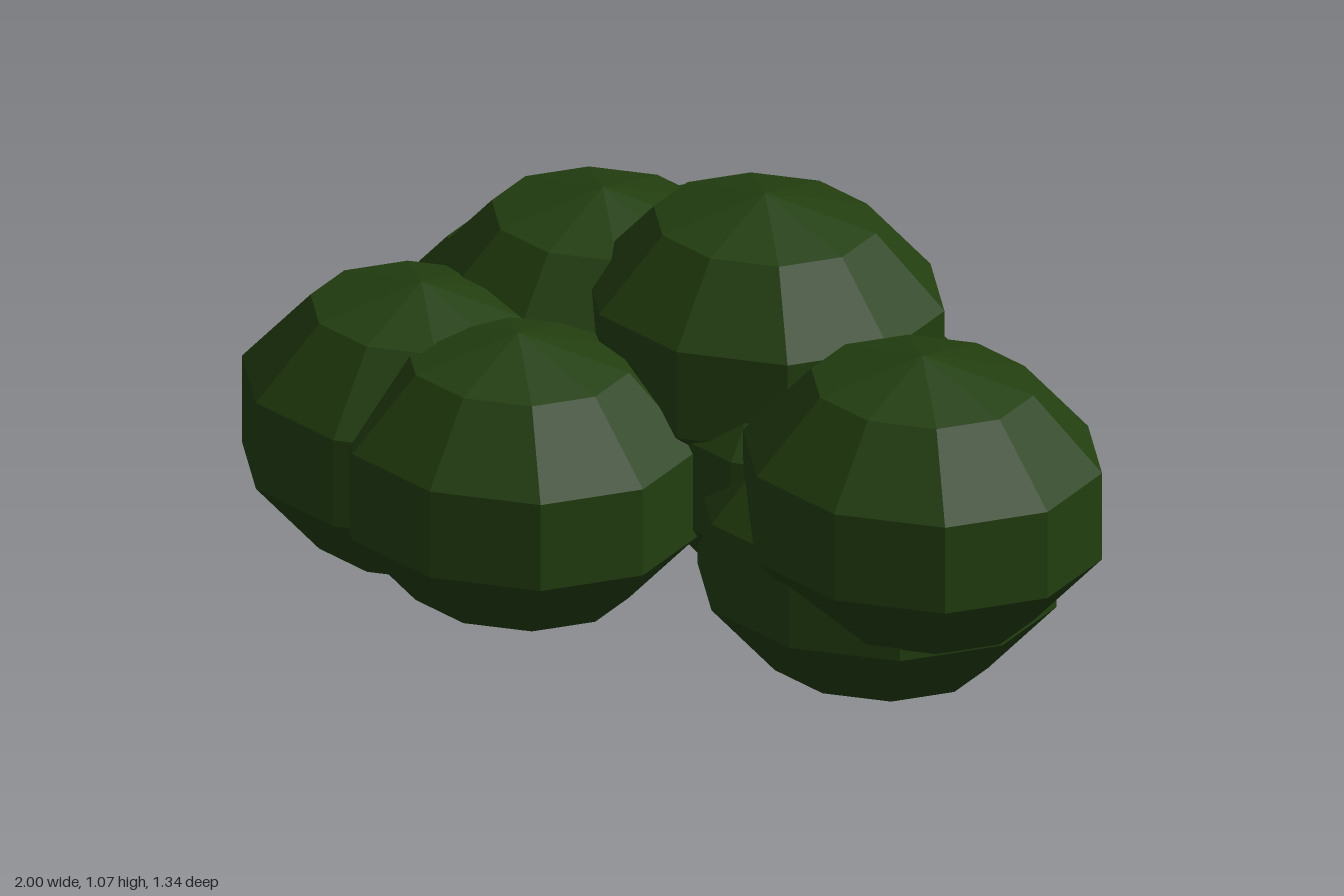
import * as THREE from 'three';

export function createModel() {
  const model = new THREE.Group();
  model.name = 'bush';

  const leafGreen = new THREE.MeshStandardMaterial({ color: 0x233f10, flatShading: true });
  leafGreen.name = 'leaf green';
  const berryRed = new THREE.MeshStandardMaterial({ color: 0x2a0c0e, flatShading: true });
  berryRed.name = 'dark berry red';

  // Overlapping low-poly foliage clumps, all the same squashed ball
  const clumpShape = new THREE.SphereGeometry(1, 10, 5);
  clumpShape.scale(0.427, 0.355, 0.343);
  const clumps = [
    ['topClump', 0.15, 0.72, 0.01],
    ['leftFrontClump', 0.59, 0.567, 0.36],
    ['leftLowClump', 0.46, 0.362, 0.245],
    ['middleClump', 0.285, 0.485, 0.06],
    ['backClump', -0.01, 0.525, -0.255],
    ['upperRightClump', -0.25, 0.6, -0.13],
    ['rightBackClump', -0.405, 0.356, -0.36],
    ['rightClump', -0.595, 0.467, 0.14],
    ['rightFrontClump', -0.34, 0.46, 0.295],
  ];
  for (const [name, x, y, z] of clumps) {
    const clump = new THREE.Mesh(clumpShape, leafGreen);
    clump.name = name;
    clump.position.set(x, y, z);
    model.add(clump);
  }

  // Small berries tucked under the foliage
  const berryShape = new THREE.SphereGeometry(0.027, 8, 6);
  const berries = [
    [-0.045, 0.26, -0.01], [-0.12, 0.197, 0.118], [-0.155, 0.27, 0.025],
    [-0.2, 0.185, 0.05], [-0.225, 0.195, 0.02], [-0.23, 0.275, -0.055],
  ];
  for (const p of berries) {
    const berry = new THREE.Mesh(berryShape, berryRed);
    berry.name = 'berry';
    berry.position.set(...p);
    model.add(berry);
  }
  return model;
}
